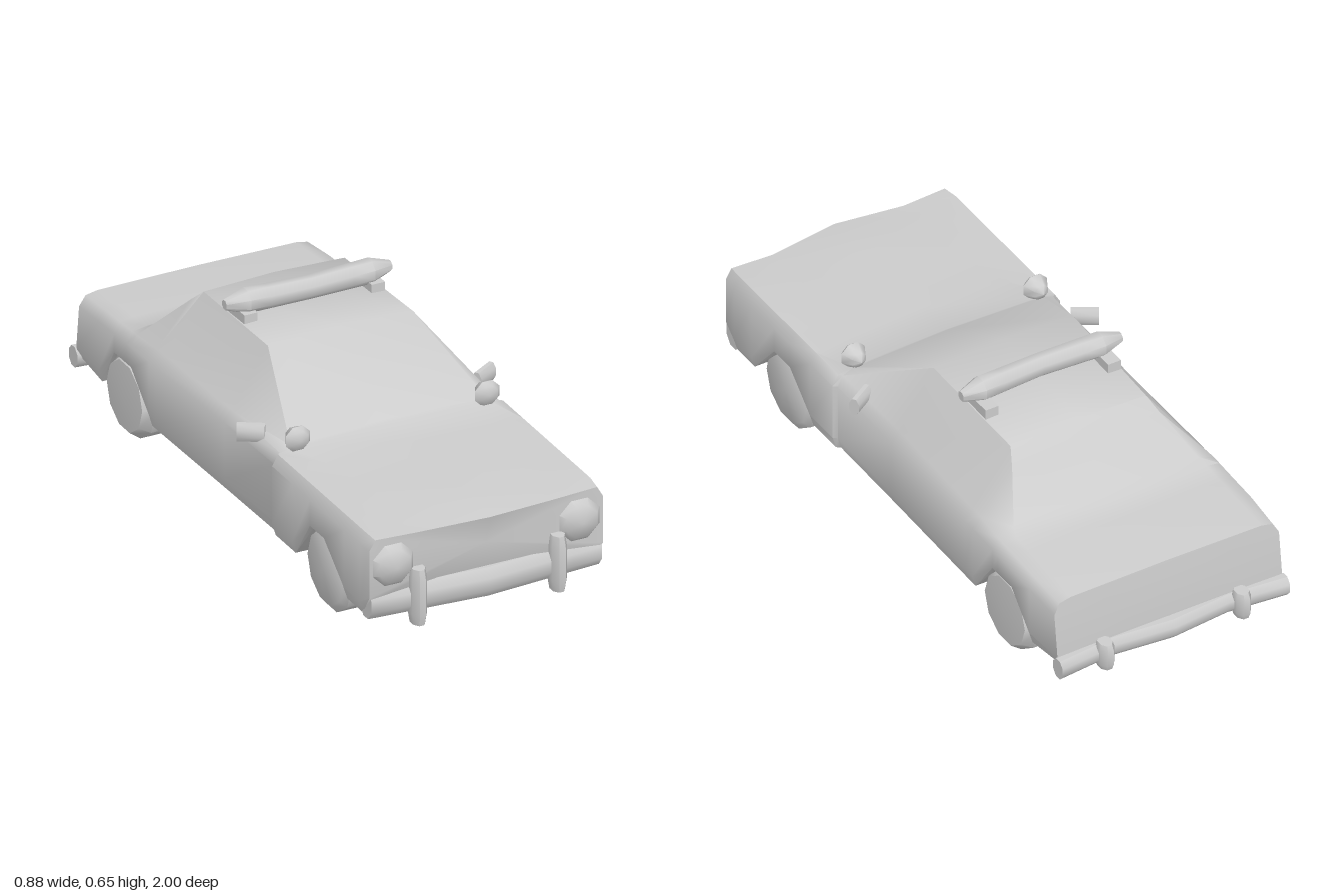
import * as THREE from 'three';
import { toCreasedNormals } from 'three/addons/utils/BufferGeometryUtils.js';

const paint = new THREE.MeshStandardMaterial({ color: 0xcccccc });
paint.name = 'light grey';

export function createModel() {
  const car = new THREE.Group();
  car.name = 'car';

  function add(name, geometry, x = 0, y = 0, z = 0, crease = 0.8) {
    const mesh = new THREE.Mesh(toCreasedNormals(geometry, crease), paint);
    mesh.name = name;
    mesh.position.set(x, y, z);
    car.add(mesh);
    return mesh;
  }

  // Turned part with few sides; points are [radius, height]
  function turned(points, sides, start = 0) {
    return new THREE.LatheGeometry(points.map(([r, h]) => new THREE.Vector2(r, h)), sides, start);
  }

  // Horizontal bar along x, with z bent and thickness set by rules of t = |x| / half length
  function bar(half, ry, rz, bend, thick = () => 1) {
    const g = new THREE.CylinderGeometry(1, 1, 2, 8, 8).rotateY(Math.PI / 8).rotateZ(Math.PI / 2);
    const p = g.attributes.position;
    for (let i = 0; i < p.count; i++) {
      const t = Math.abs(p.getX(i)), k = thick(t);
      p.setXYZ(i, p.getX(i) * half, p.getY(i) * ry * k, p.getZ(i) * rz * k + bend(t));
    }
    return g;
  }

  // Body cross-sections: z, bottom y, side half-width, shoulder x, y, top edge x, y, centre y
  const sections = [
    [0.955, 0.17, 0.395, 0.375, 0.375, 0.23, 0.368, 0.375],
    [0.9, 0.11, 0.4, 0.38, 0.38, 0.23, 0.37, 0.388],
    [0.8, 0.11, 0.4, 0.38, 0.38, 0.23, 0.378, 0.39],
    [0.67, 0.245, 0.4, 0.38, 0.38, 0.23, 0.382, 0.392],
    [0.58, 0.245, 0.4, 0.38, 0.38, 0.25, 0.383, 0.394],
    [0.465, 0.11, 0.4, 0.38, 0.38, 0.28, 0.385, 0.396],
    [0.335, 0.11, 0.4, 0.38, 0.38, 0.335, 0.39, 0.4],
    [0.325, 0.11, 0.388, 0.37, 0.38, 0.333, 0.395, 0.405],
    [0.01, 0.11, 0.392, 0.365, 0.375, 0.245, 0.565, 0.575],
    [-0.42, 0.11, 0.4, 0.37, 0.365, 0.238, 0.548, 0.557],
    [-0.465, 0.11, 0.4, 0.372, 0.365, 0.26, 0.505, 0.512],
    [-0.58, 0.245, 0.4, 0.38, 0.362, 0.325, 0.385, 0.39],
    [-0.61, 0.245, 0.4, 0.38, 0.36, 0.335, 0.367, 0.37],
    [-0.69, 0.245, 0.4, 0.38, 0.355, 0.335, 0.362, 0.365],
    [-0.79, 0.11, 0.4, 0.38, 0.35, 0.335, 0.357, 0.36],
    [-0.945, 0.125, 0.395, 0.375, 0.337, 0.335, 0.345, 0.348],
  ];
  const verts = [], index = [], last = sections.length - 1, ring = 11;
  sections.forEach(([z, yb, w, xs, ys, xt, yt, yc], i) => {
    const half = [[w - 0.012, yb], [w, Math.max(0.15, yb + 0.012)], [w, ys - 0.035], [xs, ys], [xt, yt]];
    const points = [...half, [0, yc], ...half.slice().reverse().map(([x, y]) => [-x, y])];
    points.forEach(([x, y]) => {
      const nose = i === 0 && x === 0 ? 0.025 : 0;
      const tail = i === last ? Math.max(0, y - 0.15) * 0.12 : 0;
      verts.push(x, y, z + nose + tail);
    });
  });
  for (let i = 0; i < last; i++) {
    for (let j = 0; j < ring; j++) {
      const a = i * ring + j, b = i * ring + (j + 1) % ring;
      index.push(a, a + ring, b + ring, a, b + ring, b);
    }
  }
  // Nose and tail caps
  verts.push(0, 0.28, 0.955, 0, 0.25, -0.935);
  const front = sections.length * ring;
  for (let j = 0; j < ring; j++) {
    const k = (j + 1) % ring;
    index.push(front, j, k, front + 1, last * ring + k, last * ring + j);
  }
  const body = new THREE.BufferGeometry();
  body.setAttribute('position', new THREE.Float32BufferAttribute(verts, 3));
  body.setIndex(index);
  add('body', body, 0, 0, 0, 0.9);

  // Wheels and the blocks between them
  for (const [z, outer, name] of [[0.635, 0.385, 'front'], [-0.638, 0.4, 'rear']]) {
    for (const s of [1, -1]) {
      const wheel = add(name + 'Wheel', turned(
        [[0, 0.27], [0.1375, 0.27], [0.1375, 0.36], [0.115, outer - 0.008], [0, outer]], 10), 0, 0.131, z);
      wheel.rotation.z = -s * Math.PI / 2;
    }
    const axle = new THREE.CylinderGeometry(0.11, 0.11, 0.56, 6);
    axle.rotateZ(Math.PI / 2).scale(1, 1, 1.15);
    add(name + 'AxleBlock', axle, 0, 0.155, z, 0.3);
  }

  // Bumpers
  add('frontBumper', bar(0.39, 0.052, 0.04, t => 0.01 - 0.03 * t), 0, 0.152, 0.942);
  add('rearBumper', bar(0.4, 0.036, 0.03, t => -0.02 * Math.abs(2 * t - 1)), 0, 0.122, -0.935);

  // Roof light bar with pinched ends
  add('roofLightBar', bar(0.28, 0.041, 0.041, t => 0.012 * (1 - t),
    t => t > 0.99 ? 0.4 : 0.9 + 0.1 * t), 0, 0.612, -0.205);

  for (const s of [1, -1]) {
    add('lightBarFoot', new THREE.BoxGeometry(0.045, 0.04, 0.12), s * 0.215, 0.568, -0.217);

    // Bumper guards
    const guard = turned([[0, -1], [0.8, -1], [1, -0.6], [1, 0.6], [0.8, 1], [0, 1]], 8, Math.PI / 8);
    add('frontBumperGuard', guard.clone().scale(0.027, 0.093, 0.04), s * 0.236, 0.163, 0.962);
    add('rearBumperGuard', guard.clone().scale(0.027, 0.045, 0.038), s * 0.24, 0.123, -0.963);

    // Lamps
    const headlight = turned([[0, -0.03], [0.065, -0.03], [0.073, 0], [0.055, 0.02], [0, 0.032]], 8, Math.PI / 8);
    add('headlight', headlight.rotateX(Math.PI / 2), s * 0.315, 0.28, 0.955, 1);
    const spot = turned([[0, -0.04], [0.025, -0.025], [0.044, 0.01], [0.03, 0.025], [0, 0.03]], 8, Math.PI / 8);
    add('spotlight', spot.rotateX(Math.PI / 2), s * 0.32, 0.425, 0.338, 1);
    add('spotlightStalk', new THREE.CylinderGeometry(0.01, 0.01, 0.05, 6), s * 0.325, 0.39, 0.325);

    // Door mirrors, angled back at the outside
    const mirror = new THREE.CylinderGeometry(0.03, 0.03, 0.085, 8);
    mirror.rotateY(Math.PI / 8).rotateZ(Math.PI / 2).scale(1, 1.05, 0.6);
    add('doorMirror', mirror, s * 0.394, 0.39, 0.185).rotation.y = s * 0.55;
  }
  return car;
}
